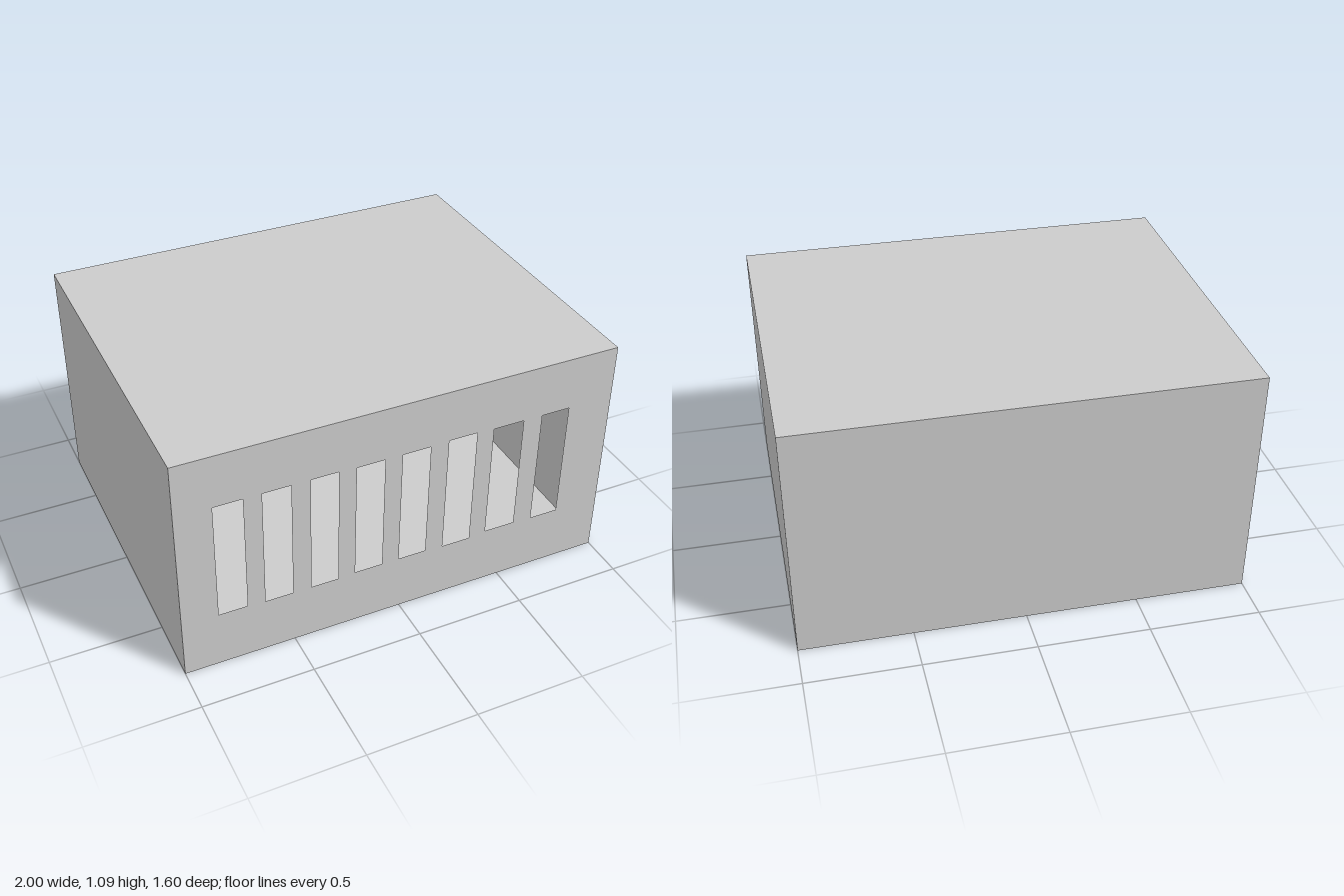
import * as THREE from 'three';

const W = 2, H = 1.085, D = 1.6;

// Vent slots: left edge, right edge, bottom, top
const SLOTS = [
  [-0.838, -0.71, 0.273, 0.84],
  [-0.63, -0.505, 0.267, 0.84],
  [-0.421, -0.297, 0.267, 0.84],
  [-0.218, -0.09, 0.273, 0.835],
  [-0.01, 0.119, 0.273, 0.835],
  [0.204, 0.337, 0.267, 0.84],
  [0.418, 0.562, 0.278, 0.835],
  [0.653, 0.786, 0.273, 0.835],
];

function rectangle(path, x0, x1, y0, y1) {
  path.moveTo(x0, y0);
  path.lineTo(x1, y0);
  path.lineTo(x1, y1);
  path.lineTo(x0, y1);
  path.closePath();
  return path;
}

export function createModel() {
  const model = new THREE.Group();
  model.name = 'slottedBox';
  const material = new THREE.MeshStandardMaterial({ color: 0xcccccc, side: THREE.DoubleSide });

  function addPanel(name, geometry, position, rotation = [0, 0, 0]) {
    const panel = new THREE.Mesh(geometry, material);
    panel.name = name;
    panel.position.set(...position);
    panel.rotation.set(...rotation);
    model.add(panel);
  }

  // Front sheet pierced by a row of upright slots
  const front = rectangle(new THREE.Shape(), -W / 2, W / 2, 0, H);
  front.holes = SLOTS.map((slot) => rectangle(new THREE.Path(), ...slot));
  addPanel('frontPanel', new THREE.ShapeGeometry(front), [0, 0, D / 2]);

  // Plain thin sheets enclosing the hollow interior
  const q = Math.PI / 2;
  addPanel('backPanel', new THREE.PlaneGeometry(W, H), [0, H / 2, -D / 2], [0, Math.PI, 0]);
  addPanel('topPanel', new THREE.PlaneGeometry(W, D), [0, H, 0], [-q, 0, 0]);
  addPanel('bottomPanel', new THREE.PlaneGeometry(W, D), [0, 0, 0], [q, 0, 0]);
  for (const [name, s] of [['leftPanel', 1], ['rightPanel', -1]]) {
    addPanel(name, new THREE.PlaneGeometry(D, H), [s * W / 2, H / 2, 0], [0, s * q, 0]);
  }

  return model;
}
